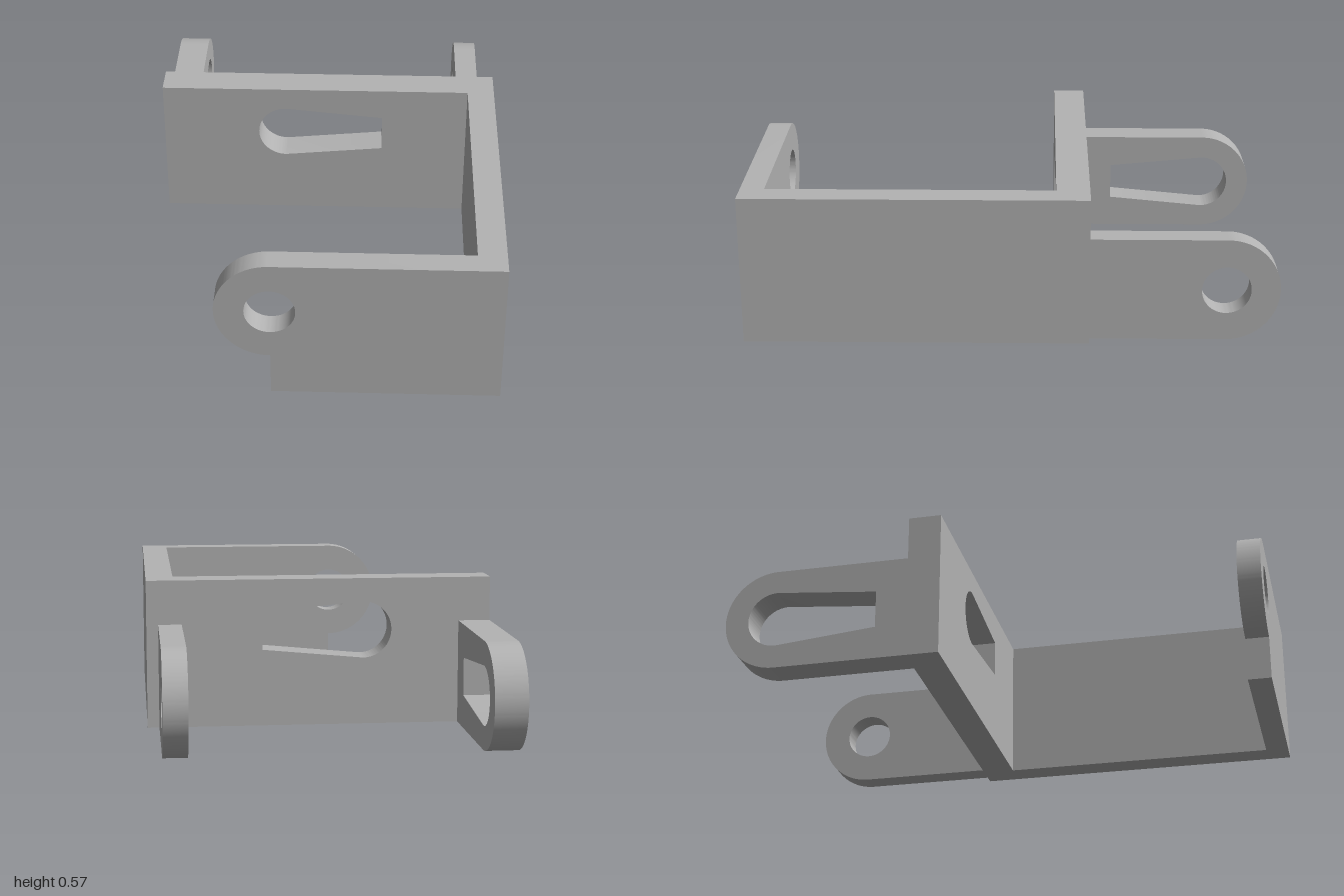
import * as THREE from 'three';
import { toCreasedNormals } from 'three/addons/utils/BufferGeometryUtils.js';

const Q = Math.PI / 2;

// Extrudes a plate profile, keeping edges sharp and curves smooth
function plate(name, shape, depth, material) {
  const geo = new THREE.ExtrudeGeometry(shape, { depth, bevelEnabled: false, curveSegments: 40 });
  const mesh = new THREE.Mesh(toCreasedNormals(geo, 0.5), material);
  mesh.name = name;
  return mesh;
}

function roundHole(x, y, r) {
  const path = new THREE.Path();
  path.absarc(x, y, r, 0, Math.PI * 2, true);
  return path;
}

// Tapered slot: round at (x, y), narrowing to a flat end; dir is the side of the flat end
function taperedSlot(x, y, dir) {
  const path = new THREE.Path();
  const end = x + dir * 0.39;
  path.moveTo(end, y - 0.073);
  path.lineTo(end, y + 0.073);
  path.lineTo(x, y + 0.11);
  path.absarc(x, y, 0.11, Q, -Q, dir < 0);
  path.closePath();
  return path;
}

// Arm profile: straight from the back plate to a half-round tip
function armShape(hole) {
  const s = new THREE.Shape();
  s.moveTo(0.29, 0);
  s.lineTo(0.8, 0);
  s.absarc(0.8, 0.2, 0.2, -Q, Q, false);
  s.lineTo(0.29, 0.4);
  s.closePath();
  s.holes.push(hole);
  return s;
}

export function createModel() {
  const group = new THREE.Group();
  group.name = 'bracket';
  const grey = new THREE.MeshStandardMaterial({ color: 0xb3b3b3 });
  grey.name = 'plain grey';

  // Back plate with tapered slot
  const back = new THREE.Shape();
  back.moveTo(-0.665, 0);
  back.lineTo(0.665, 0);
  back.lineTo(0.665, 0.57);
  back.lineTo(-0.665, 0.57);
  back.closePath();
  back.holes.push(taperedSlot(-0.17, 0.37, 1));
  const backPlate = plate('backPlate', back, 0.125, grey);
  backPlate.position.z = -0.29;

  // Side wall joining the back and front plates
  const sideWall = new THREE.Mesh(new THREE.BoxGeometry(0.105, 0.57, 1.165), grey);
  sideWall.name = 'sideWall';
  sideWall.position.set(0.6125, 0.285, 0.4175);

  // Front plate with a round lug overhanging its free end
  const front = new THREE.Shape();
  front.moveTo(-0.17, 0);
  front.lineTo(0.56, 0);
  front.lineTo(0.56, 0.57);
  front.lineTo(-0.17, 0.57);
  front.absarc(-0.17, 0.37, 0.2, Q, Q * 3, false);
  front.closePath();
  front.holes.push(roundHole(-0.17, 0.37, 0.092));
  const frontPlate = plate('frontPlate', front, 0.09, grey);
  frontPlate.position.z = 0.91;

  // Rear arms, turned so their length runs backwards
  const leftArm = plate('leftArm', armShape(roundHole(0.8, 0.2, 0.092)), 0.09, grey);
  leftArm.position.x = 0.53;
  const rightArm = plate('rightArm', armShape(taperedSlot(0.8, 0.2, -1)), 0.122, grey);
  rightArm.position.x = -0.665;
  for (const arm of [leftArm, rightArm]) arm.rotation.y = Q;

  group.add(backPlate, sideWall, frontPlate, leftArm, rightArm);
  return group;
}
